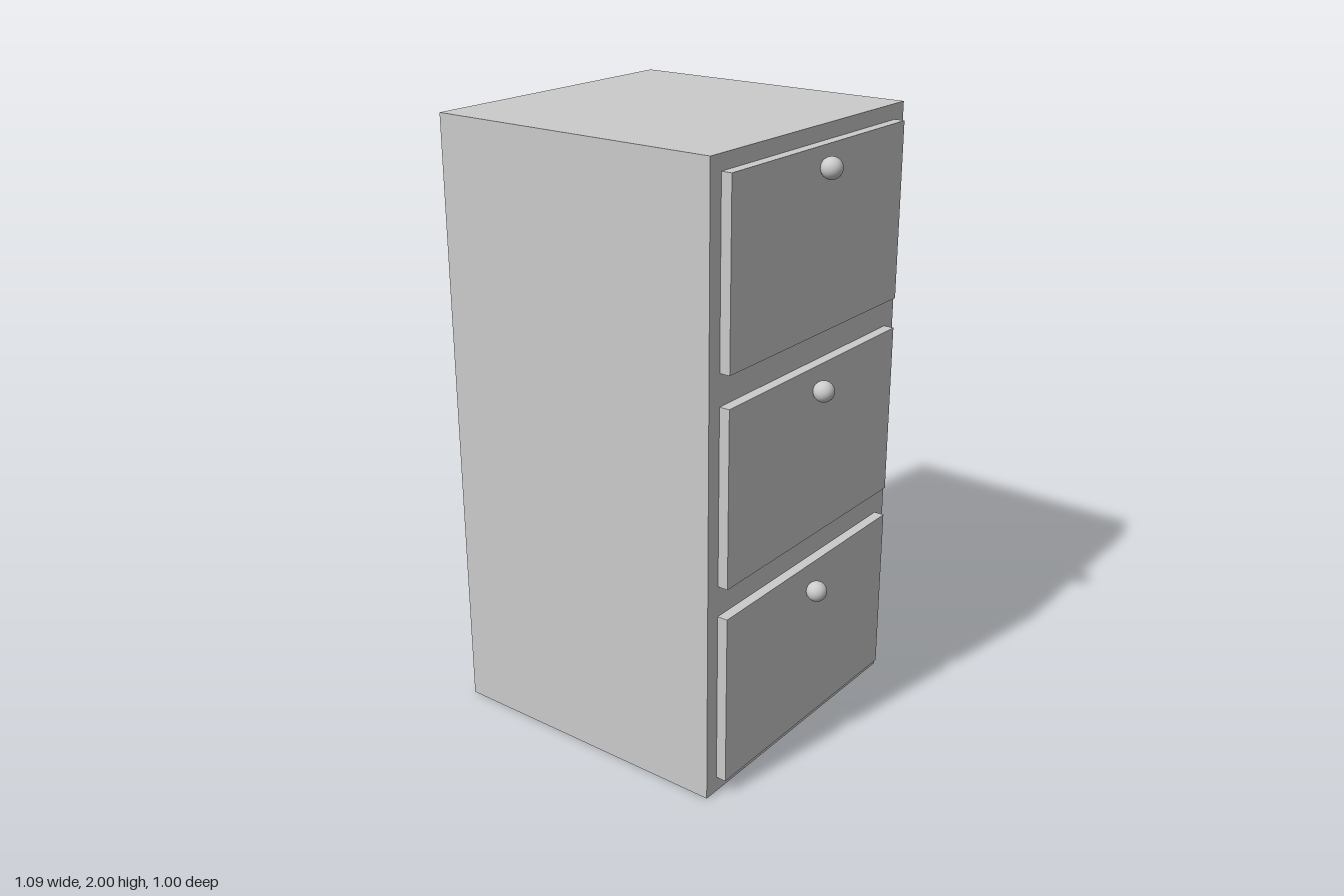
import * as THREE from 'three';

export function createModel() {
  const group = new THREE.Group();
  const material = new THREE.MeshStandardMaterial({ color: 0xcccccc });

  const add = (name, geometry, x, y, z = 0) => {
    const mesh = new THREE.Mesh(geometry, material);
    mesh.name = name;
    mesh.position.set(x, y, z);
    group.add(mesh);
  };

  // Cabinet body, its drawer side facing +x
  const faceX = 0.453;
  add('cabinetBody', new THREE.BoxGeometry(1, 2, 1), faceX - 0.5, 1);

  // Three raised drawer fronts, each with a round knob near its top edge
  const thickness = 0.034;
  const frontGeometry = new THREE.BoxGeometry(thickness, 0.567, 0.9);
  const knobGeometry = new THREE.SphereGeometry(0.0335, 32, 16);
  for (let i = 0; i < 3; i++) {
    add(`drawerFront${i + 1}`, frontGeometry, faceX + thickness / 2, 0.334 + i * 0.667);
    add(`drawerKnob${i + 1}`, knobGeometry, faceX + 0.06, 0.528 + i * 0.68);
  }

  return group;
}
